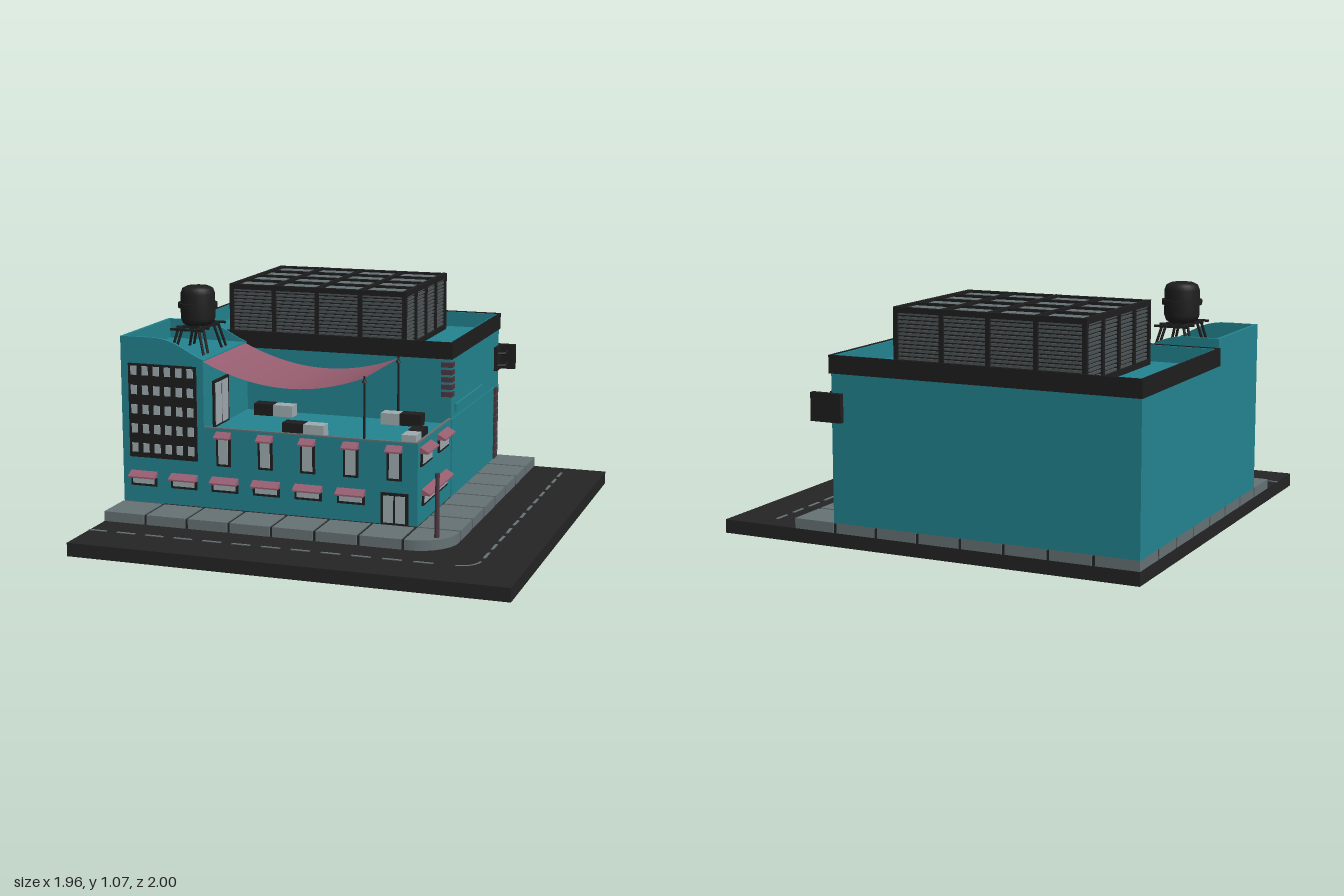
import * as THREE from 'three';

const mat = (name, color, side = THREE.FrontSide) => {
  const m = new THREE.MeshStandardMaterial({ color, side });
  m.name = name;
  return m;
};
const M = {
  teal: mat('teal wall', 0x238490), black: mat('black trim', 0x1e1e1e), road: mat('asphalt', 0x242424),
  grey: mat('paving grey', 0x667275), glass: mat('pale glass', 0x9fabb0), pink: mat('awning pink', 0x965d6f),
  cloth: mat('canopy pink', 0x965d6f, THREE.DoubleSide), maroon: mat('dark maroon', 0x4e363f), slat: mat('louvre grey', 0x4c5355),
};

export function createModel() {
  const root = new THREE.Group();
  root.name = 'cornerBuilding';
  const add = (name, geo, m, parent = root) => {
    const mesh = new THREE.Mesh(geo, m);
    mesh.name = name;
    parent.add(mesh);
    return mesh;
  };
  // Box given by its limits on each axis
  const box = (name, m, x0, x1, y0, y1, z0, z1, parent) => {
    const b = add(name, new THREE.BoxGeometry(x1 - x0, y1 - y0, z1 - z0), m, parent);
    b.position.set((x0 + x1) / 2, (y0 + y1) / 2, (z0 + z1) / 2);
    return b;
  };
  // Hollow rectangular wall of thickness t
  const ring = (name, m, x0, x1, z0, z1, t, y0, y1) => {
    box(name, m, x0, x1, y0, y1, z0, z0 + t);
    box(name, m, x0, x1, y0, y1, z1 - t, z1);
    box(name, m, x0, x0 + t, y0, y1, z0 + t, z1 - t);
    box(name, m, x1 - t, x1, y0, y1, z0 + t, z1 - t);
  };
  // Round bar between two points
  const bar = (name, m, a, b, r, parent) => {
    const p = new THREE.Vector3(...a), q = new THREE.Vector3(...b);
    const c = add(name, new THREE.CylinderGeometry(r, r, p.distanceTo(q), 8), m, parent);
    c.position.copy(p).lerp(q, 0.5);
    c.quaternion.setFromUnitVectors(new THREE.Vector3(0, 1, 0), q.sub(p).normalize());
  };

  // Road and lane markings
  box('road', M.road, -0.975, 0.975, 0, 0.06, -0.96, 1);
  for (let i = 0; i < 13; i++) {
    const x = -0.975 + i * 0.135;
    if (i < 12) box('laneDash', M.grey, x, x + 0.085, 0.06, 0.063, 0.784, 0.796);
    const z = -0.86 + i * 0.13;
    if (i < 12) box('laneDash', M.grey, 0.769, 0.781, 0.06, 0.063, z, z + 0.08);
  }
  const arc = add('laneCorner', new THREE.RingGeometry(0.079, 0.091, 12, 1, -Math.PI / 2, Math.PI / 2), M.grey);
  arc.rotation.x = -Math.PI / 2;
  arc.position.set(0.69, 0.063, 0.705);

  // Pavement: dark joints below, a border of slabs, one rounded corner slab
  box('pavementJoint', M.road, -0.97, 0.44, 0.06, 0.1, -0.955, 0.632);
  box('pavementJoint', M.road, 0.44, 0.607, 0.06, 0.1, -0.955, 0.45);
  const sx = 1.59 / 8, g = 0.007;
  for (let i = 0; i < 8; i++) for (let j = 0; j < 8; j++) {
    if ((i > 0 && i < 7 && j > 0 && j < 7) || (i === 7 && j === 7)) continue;
    const x = -0.975 + i * sx, z = -0.96 + j * 0.2;
    box('pavingSlab', M.grey, x + (i ? g : 0), x + sx - (i < 7 ? g : 0), 0.06, 0.105,
      z + (j ? g : 0), z + 0.2 - (j < 7 ? g : 0));
  }
  const corner = new THREE.Shape();
  corner.moveTo(0.423, -0.447);
  corner.lineTo(0.423, -0.64);
  corner.lineTo(0.44, -0.64);
  corner.absarc(0.44, -0.465, 0.175, -Math.PI / 2, 0);
  corner.lineTo(0.615, -0.447);
  const slab = add('cornerSlab', new THREE.ExtrudeGeometry(corner, { depth: 0.045, bevelEnabled: false, curveSegments: 10 }), M.grey);
  slab.rotation.x = -Math.PI / 2;
  slab.position.y = 0.06;
  add('streetPost', new THREE.CylinderGeometry(0.008, 0.011, 0.28, 10), M.maroon).position.set(0.545, 0.245, 0.565);
  add('postCap', new THREE.CylinderGeometry(0.011, 0.011, 0.02, 10), M.maroon).position.set(0.545, 0.375, 0.565);

  // Main hall with its black parapet
  box('hall', M.teal, -0.975, 0.42, 0.105, 0.75, -0.96, -0.085);
  ring('parapetInside', M.teal, -0.973, 0.418, -0.963, -0.087, 0.012, 0.745, 0.822);
  ring('parapet', M.black, -0.981, 0.426, -0.971, -0.079, 0.009, 0.748, 0.826);
  box('sidePlinth', M.teal, 0.42, 0.425, 0.105, 0.47, -0.95, -0.09);
  box('sideLedge', M.teal, 0.42, 0.43, 0.495, 0.53, -0.63, -0.145);
  for (let i = 0; i < 10; i++) box('rearQuoin', M.maroon, 0.42, 0.436, 0.112 + i * 0.036, 0.138 + i * 0.036, -0.905, -0.855);
  box('rearQuoinStrip', M.maroon, 0.42, 0.43, 0.105, 0.467, -0.9, -0.86);
  for (let i = 0; i < 5; i++) box('cornerQuoin', M.maroon, 0.375, 0.428, 0.575 + i * 0.034, 0.597 + i * 0.034, -0.118, -0.075);

  // Rooftop cooling unit: dark core, slats, top panels and a 4 by 4 frame
  const X0 = -0.7, X1 = 0.175, Z0 = -0.865, Z1 = -0.18;
  box('coolerCore', M.black, X0 + 0.018, X1 - 0.018, 0.75, 1.01, Z0 + 0.018, Z1 - 0.018);
  for (let i = 0; i < 14; i++) {
    const y = 0.775 + i * 0.017;
    box('coolerSlat', M.slat, X0 + 0.009, X1 - 0.009, y, y + 0.01, Z0 + 0.009, Z1 - 0.009);
  }
  box('coolerTopPanel', M.grey, X0 + 0.01, X1 - 0.01, 1.01, 1.018, Z0 + 0.01, Z1 - 0.01);
  const t = 0.02;
  for (let i = 0; i < 5; i++) {
    const x = X0 + i * (X1 - X0 - t) / 4, z = Z0 + i * (Z1 - Z0 - t) / 4;
    box('coolerTopBar', M.black, x, x + t, 1.005, 1.03, Z0, Z1);
    box('coolerTopBar', M.black, X0, X1, 1.005, 1.029, z, z + t);
    for (const e of [Z0, Z1 - t]) box('coolerPost', M.black, x, x + t, 0.75, 1.02, e, e + t);
    for (const e of [X0, X1 - t]) box('coolerPost', M.black, e, e + t, 0.75, 1.02, z, z + t);
  }
  ring('coolerFoot', M.black, X0, X1, Z0, Z1, t, 0.75, 0.775);

  // Tower with curved parapets front and back
  box('tower', M.teal, -0.975, -0.575, 0.105, 0.775, -0.085, 0.435);
  const s = new THREE.Shape();
  s.moveTo(-0.975, 0.77);
  s.lineTo(-0.575, 0.77);
  s.lineTo(-0.575, 0.777);
  s.bezierCurveTo(-0.66, 0.805, -0.7, 0.865, -0.83, 0.865);
  s.lineTo(-0.975, 0.865);
  for (const z of [-0.085, 0.42])
    add('towerParapet', new THREE.ExtrudeGeometry(s, { depth: 0.015, bevelEnabled: false, curveSegments: 12 }), M.teal).position.z = z;
  box('towerParapet', M.teal, -0.975, -0.96, 0.775, 0.865, -0.07, 0.42);
  box('windowGrid', M.black, -0.937, -0.607, 0.315, 0.745, 0.435, 0.443);
  for (let i = 0; i < 6; i++) for (let j = 0; j < 5; j++) {
    const x = -0.909 + i * 0.0548, y = 0.36 + j * 0.0885;
    box('towerPane', M.glass, x - 0.015, x + 0.015, y - 0.021, y + 0.021, 0.443, 0.446);
  }
  // Terrace doors in the tower side
  box('terraceDoorFrame', M.black, -0.575, -0.567, 0.45, 0.665, 0.16, 0.335);
  for (const z of [0.176, 0.252]) box('terraceDoorPane', M.glass, -0.567, -0.564, 0.46, 0.652, z, z + 0.067);

  // Low wing with terrace and rim
  box('lowWing', M.teal, -0.575, 0.42, 0.105, 0.45, -0.085, 0.435);
  box('terraceRim', M.teal, -0.575, 0.42, 0.45, 0.47, 0.423, 0.435);
  box('terraceRim', M.teal, 0.408, 0.42, 0.45, 0.47, -0.085, 0.423);
  box('rimCap', M.grey, -0.575, 0.42, 0.47, 0.476, 0.423, 0.435);
  box('rimCap', M.grey, 0.408, 0.42, 0.47, 0.476, -0.085, 0.423);

  // Windows: frame, pane and wedge awning, built facing +z
  const awning = (w, y, parent) => {
    const p = new THREE.Shape([[0, y - 0.022], [0.038, y - 0.022], [0.038, y - 0.015], [0, y + 0.006]].map(a => new THREE.Vector2(...a)));
    const a = add('awning', new THREE.ExtrudeGeometry(p, { depth: w, bevelEnabled: false }), M.pink, parent);
    a.rotation.y = -Math.PI / 2;
    a.position.x = w / 2;
  };
  const windowAt = (onSide, u, w, y0, y1) => {
    const grp = new THREE.Group();
    grp.name = 'window';
    box('windowFrame', M.black, -w / 2, w / 2, y0, y1, 0, 0.008, grp);
    box('windowPane', M.glass, -w / 2 + 0.011, w / 2 - 0.011, y0 + 0.011, y1 - 0.011, 0.008, 0.011, grp);
    awning(w + 0.004, y1, grp);
    grp.position.set(onSide ? 0.42 : u, 0, onSide ? u : 0.435);
    if (onSide) grp.rotation.y = Math.PI / 2;
    root.add(grp);
  };
  for (let i = 0; i < 6; i++) windowAt(false, -0.872 + i * 0.198, 0.126, 0.182, 0.245);
  for (let i = 0; i < 5; i++) windowAt(false, -0.48 + i * 0.199, 0.068, 0.302, 0.453);
  for (const z of [0.317, 0.048]) windowAt(true, z, 0.162, 0.362, 0.443);
  windowAt(true, 0.178, 0.385, 0.182, 0.25);
  box('doorFrame', M.black, 0.255, 0.38, 0.105, 0.247, 0.435, 0.443);
  for (const x of [0.268, 0.322]) box('doorPane', M.glass, x, x + 0.045, 0.114, 0.235, 0.443, 0.446);

  // Sagging cloth canopy on two poles
  const cloth = new THREE.PlaneGeometry(0.755, 0.5, 20, 1).rotateX(-Math.PI / 2).translate(-0.1975, 0, 0.183);
  const pos = cloth.attributes.position;
  for (let i = 0; i < pos.count; i++) {
    const k = (pos.getX(i) + 0.575) / 0.755;
    pos.setY(i, 0.77 - 0.025 * k - 0.33 * k * (1 - k));
  }
  cloth.computeVertexNormals();
  add('canopy', cloth, M.cloth);
  for (const z of [-0.067, 0.425]) {
    bar('canopyPole', M.black, [0.175, 0.45, z], [0.175, 0.75, z], 0.005);
    add('poleTip', new THREE.ConeGeometry(0.012, 0.025, 8), M.black).position.set(0.175, 0.735, z);
  }

  // Terrace benches, a dark seat with a pale one beside it
  const bench = (x0, xm, x1, z0, z1) => {
    box('darkSeat', M.black, Math.min(x0, xm), Math.max(x0, xm), 0.45, 0.505, z0, z1);
    box('paleSeat', M.glass, Math.min(xm, x1), Math.max(xm, x1), 0.45, 0.503, z0, z1);
  };
  bench(-0.5, -0.405, -0.31, -0.04, 0.025);
  bench(-0.23, -0.13, -0.035, 0.3, 0.365);
  bench(0.31, 0.21, 0.12, -0.04, 0.025);
  box('darkSeat', M.black, 0.34, 0.405, 0.45, 0.505, 0.23, 0.33);
  box('paleSeat', M.glass, 0.34, 0.405, 0.45, 0.503, 0.33, 0.415);

  // Water tank on a trestle
  const tank = new THREE.Group();
  tank.name = 'waterTank';
  tank.position.set(-0.705, 0, 0.18);
  root.add(tank);
  const profile = [[0, 0.885], [0.05, 0.888], [0.07, 0.9], [0.079, 0.925], [0.079, 1.035], [0.07, 1.058], [0.05, 1.068], [0, 1.07]];
  add('tankBody', new THREE.LatheGeometry(profile.map(p => new THREE.Vector2(...p)), 24), M.black, tank);
  add('tankBand', new THREE.CylinderGeometry(0.09, 0.09, 0.022, 24), M.black, tank).position.y = 0.982;
  for (const x of [-0.05, 0.05]) {
    box('trestleRail', M.black, x - 0.006, x + 0.006, 0.88, 0.892, -0.125, 0.125, tank);
    for (const z of [-0.11, 0.11]) {
      const o = Math.sign(x), d = Math.sign(z);
      bar('trestleLeg', M.black, [x, 0.885, z], [x + o * 0.03, 0.775, z + d * 0.02], 0.006, tank);
      bar('trestleLeg', M.black, [x, 0.885, z - d * 0.05], [x + o * 0.03, 0.775, z - d * 0.03], 0.006, tank);
    }
  }
  for (const z of [-0.13, -0.06, 0.06, 0.13])
    box('trestleCrossbar', M.black, -0.08, 0.08, 0.88, 0.89, z - 0.005, z + 0.005, tank);

  // Blank sign boards bracketed to the rear corner
  box('rearSign', M.black, 0.355, 0.5, 0.545, 0.668, -1, -0.975);
  box('sideSign', M.black, 0.42, 0.436, 0.55, 0.668, -0.945, -0.87);
  for (const y of [0.575, 0.635]) {
    bar('signBracket', M.black, [0.46, y, -0.98], [0.47, y, -0.91], 0.008);
    bar('signBracket', M.black, [0.47, y, -0.91], [0.43, y, -0.89], 0.008);
  }
  return root;
}
